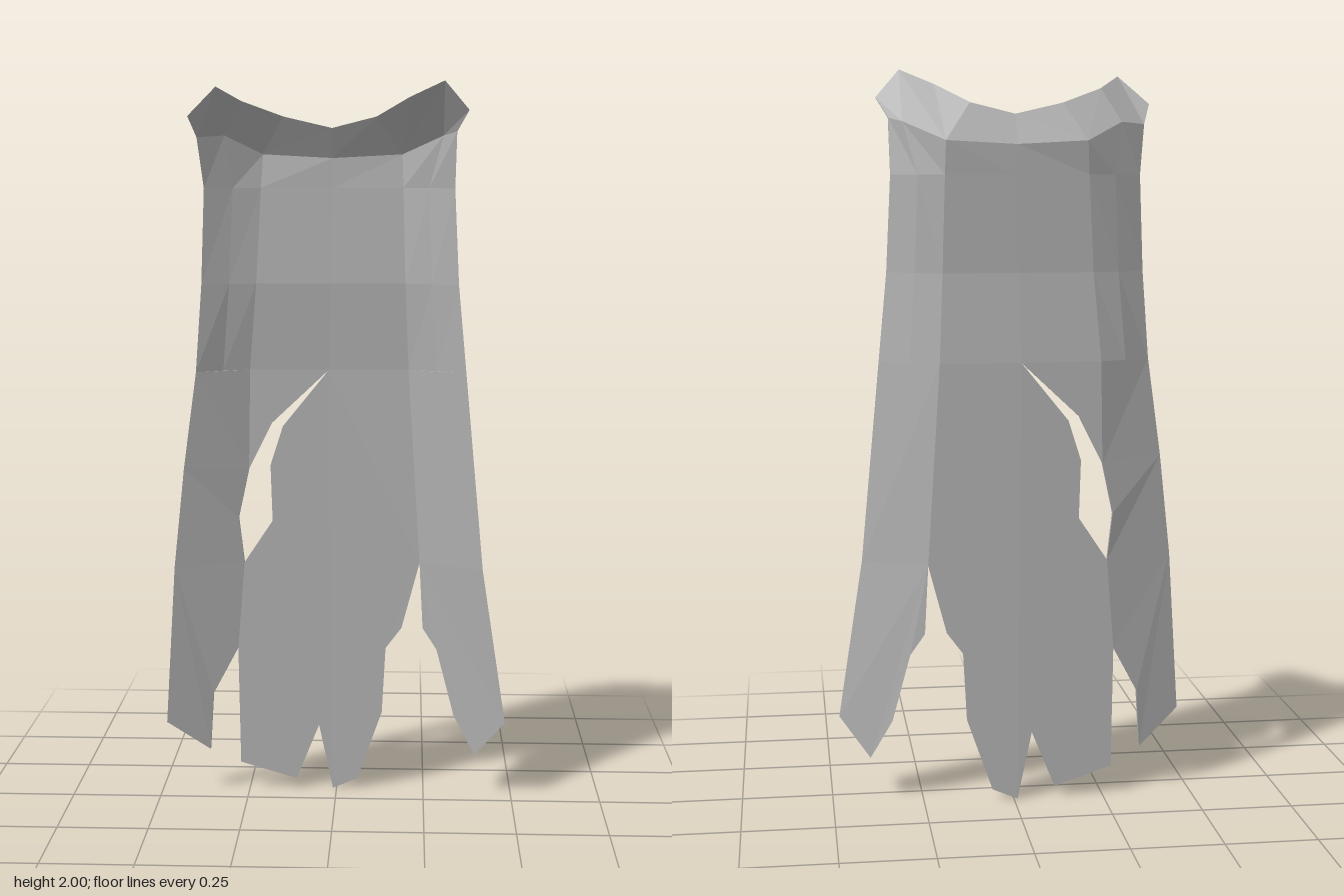
import * as THREE from 'three';
import { mergeGeometries } from 'three/addons/utils/BufferGeometryUtils.js';

const THICK = 0.012;

// Piecewise linear lookup in a list of [y, value], y descending
function lookup(table, y) {
  if (y >= table[0][0]) return table[0][1];
  for (let i = 1; i < table.length; i++) {
    const [y0, v0] = table[i - 1], [y1, v1] = table[i];
    if (y >= y1) return v0 + (v1 - v0) * (y0 - y) / (y0 - y1);
  }
  return table[table.length - 1][1];
}

// Outer edges, fold lines and depth of the back, by height
const rightEdge = [[1.72, 0.355], [1.46, 0.365], [1.22, 0.383], [0.95, 0.42], [0.67, 0.45], [0.22, 0.478]];
const leftEdge = [[1.72, 0.322], [1.46, 0.335], [1.22, 0.358], [0.67, 0.41], [0.23, 0.478]];
const rightFold = [[1.82, 0.20], [1.46, 0.22], [1.22, 0.24], [0.8, 0.265], [0.42, 0.28]];
const leftFold = [[1.82, 0.18], [1.46, 0.19], [1.22, 0.20], [0.67, 0.235], [0, 0.26]];
const backDepth = [[1.82, -0.077], [1.46, -0.065], [1.22, -0.082], [0, -0.085]];

// Flat back with flanks that curve forward to the edges
function clothZ(x, y) {
  const edge = lookup(x < 0 ? rightEdge : leftEdge, y);
  const fold = lookup(x < 0 ? rightFold : leftFold, y);
  const back = lookup(backDepth, y) + 0.05 * Math.min(fold, Math.max(0, -x));
  const t = Math.min(1, Math.max(0, (Math.abs(x) - fold) / (edge - fold)));
  return back * (1 - Math.pow(t, 1.3));
}

// A slab from an outline of [x, y] or [x, y, z] points; each corner takes
// the depth of the outline point it stands on
function panel(points) {
  const corners = points.map(([x, y, z]) => ({ x, y, z: z ?? clothZ(x, y) }));
  const shape = new THREE.Shape(corners.map(({ x, y }) => new THREE.Vector2(x, y)));
  const geo = new THREE.ExtrudeGeometry(shape, { depth: THICK, bevelEnabled: false });
  const p = geo.attributes.position;
  for (let i = 0; i < p.count; i++) {
    const distance = (c) => Math.hypot(c.x - p.getX(i), c.y - p.getY(i));
    const nearest = corners.reduce((a, b) => (distance(b) < distance(a) ? b : a));
    p.setZ(i, nearest.z - THICK + p.getZ(i));
  }
  geo.clearGroups();
  geo.computeVertexNormals();
  return geo;
}

export function createModel() {
  const group = new THREE.Group();
  const cloth = new THREE.MeshStandardMaterial({ color: 0xb2b2b2, flatShading: true, side: THREE.DoubleSide });
  cloth.name = 'grey cloth';
  const add = (name, outlines) => {
    const mesh = new THREE.Mesh(mergeGeometries(outlines.map(panel)), cloth);
    mesh.name = name;
    group.add(mesh);
  };

  // Collar: rim flaring forward from the base line
  const base = [[-0.37, 1.855, 0.025], [-0.30, 1.86, -0.02], [-0.20, 1.81, -0.075], [-0.01, 1.80, -0.075],
    [0.18, 1.81, -0.08], [0.29, 1.86, -0.01], [0.325, 1.87, 0.025]];
  const rim = [[-0.39, 1.91, 0.06], [-0.31, 1.985, 0.10], [-0.25, 1.95, 0.025], [-0.14, 1.91, -0.02],
    [-0.01, 1.88, -0.033], [0.11, 1.91, -0.02], [0.20, 1.96, 0.05], [0.29, 2.0, 0.10], [0.355, 1.925, 0.08]];
  add('collar', [
    [base[0], base[1], rim[1], rim[0]],
    [base[1], base[2], rim[2], rim[1]],
    [base[2], rim[3], rim[2]],
    [base[2], base[3], rim[4], rim[3]],
    [base[3], base[4], rim[5], rim[4]],
    [base[4], rim[6], rim[5]],
    [base[4], base[5], rim[7], rim[6]],
    [base[5], base[6], rim[8], rim[7]],
  ]);

  // Upper cloth: rows of seven points from edge to edge
  const row = (y, centre) => {
    const re = lookup(rightEdge, y), rf = lookup(rightFold, y);
    const le = lookup(leftEdge, y), lf = lookup(leftFold, y);
    return [-re, -(re + rf) / 2, -rf, centre, lf, (le + lf) / 2, le].map((x) => [x, y]);
  };
  const rows = [base, row(1.72, -0.01), row(1.46, -0.015), row(1.22, -0.02)];
  const upper = [];
  for (let r = 0; r < 3; r++) {
    for (let c = 0; c < 6; c++) {
      upper.push([rows[r + 1][c], rows[r + 1][c + 1], rows[r][c + 1], rows[r][c]]);
    }
  }
  add('upperCloth', upper);

  // Right flank, beside the long tear
  add('rightFlank', [
    [[-0.383, 1.22], [-0.42, 0.95], [-0.245, 0.94], [-0.24, 1.22]],
    [[-0.42, 0.95], [-0.45, 0.67], [-0.26, 0.67], [-0.275, 0.80], [-0.245, 0.94]],
    [[-0.45, 0.67], [-0.478, 0.22], [-0.36, 0.125], [-0.35, 0.29], [-0.28, 0.42], [-0.26, 0.67]],
    [[-0.24, 1.22], [-0.245, 0.94], [-0.18, 1.07], [-0.02, 1.22]],
  ]);

  // Centre cloth with a ragged hem, in two halves
  add('centreCloth', [
    [[-0.02, 1.22], [-0.15, 1.06], [-0.185, 0.95], [-0.18, 0.79], [-0.26, 0.67], [-0.28, 0.42],
      [-0.275, 0.08], [-0.115, 0.03], [-0.05, 0.19]],
    [[-0.02, 1.22], [-0.05, 0.19], [-0.01, 0], [0.06, 0.03], [0.13, 0.23], [0.14, 0.42],
      [0.185, 0.48], [0.235, 0.67], [0.20, 1.22]],
  ]);

  // Left flank with its torn tip
  add('leftFlank', [
    [[0.20, 1.22], [0.235, 0.67], [0.41, 0.67], [0.358, 1.22]],
    [[0.235, 0.67], [0.245, 0.48], [0.285, 0.42], [0.335, 0.23], [0.395, 0.12], [0.478, 0.23], [0.41, 0.67]],
  ]);
  return group;
}
